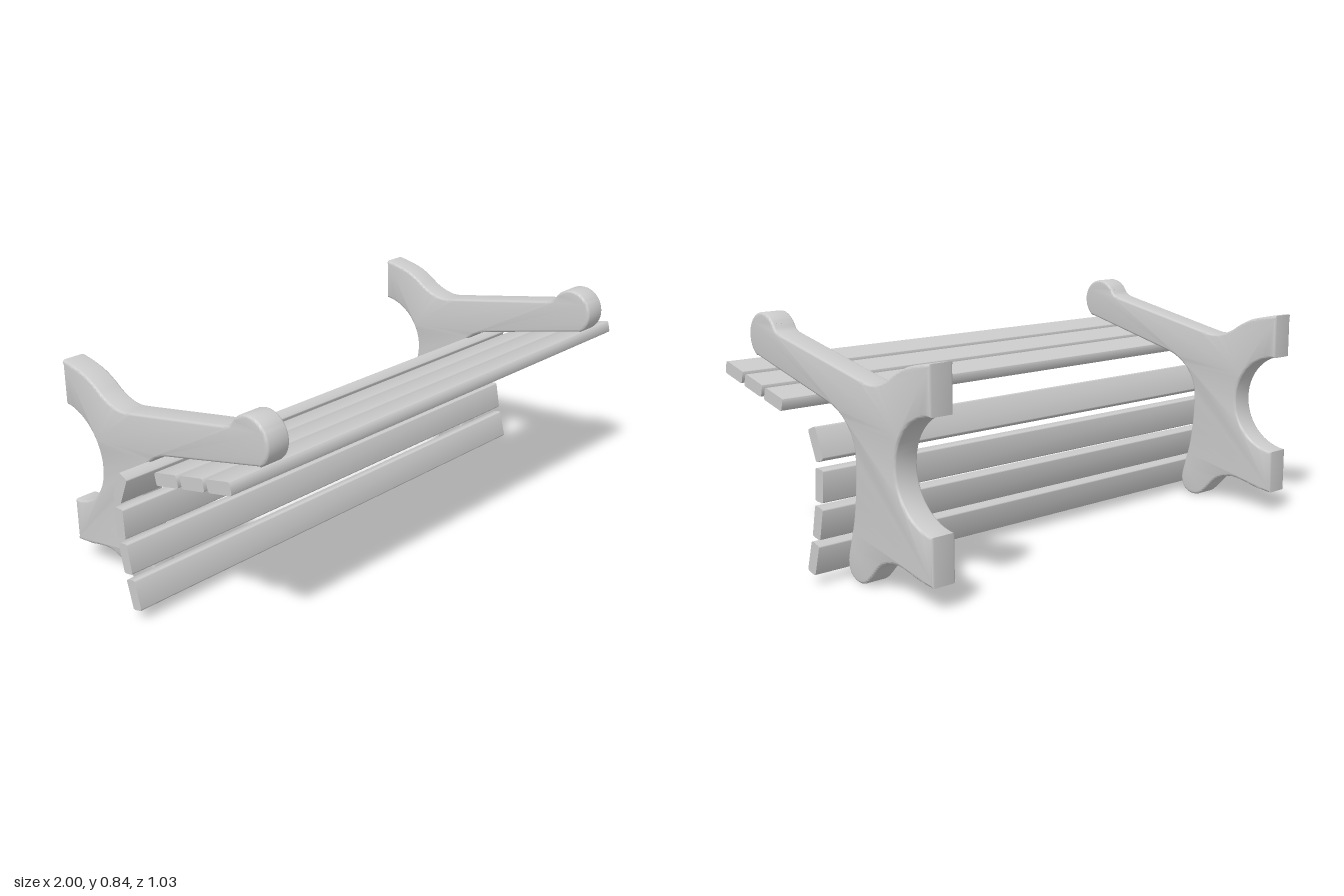
import * as THREE from 'three';
import { toCreasedNormals } from 'three/addons/utils/BufferGeometryUtils.js';

const material = new THREE.MeshStandardMaterial({ color: 0xcccccc });

// Side profile of a bracket, drawn with shape x = model z
function bracketShape() {
  const s = new THREE.Shape();
  const v = (pts) => pts.map(([z, y]) => new THREE.Vector2(z, y));
  s.moveTo(-0.513, 0.778);
  s.splineThru(v([[-0.45, 0.768], [-0.39, 0.752], [-0.34, 0.728], [-0.298, 0.702], [-0.25, 0.683], [-0.2, 0.677], [-0.147, 0.685]]));
  s.lineTo(0.3, 0.776);
  s.bezierCurveTo(0.35, 0.786, 0.345, 0.79, 0.362, 0.811); // blend into the knob
  s.absarc(0.43, 0.761, 0.085, 2.51, -1.0 + Math.PI * 2, true);
  return s;
}

// Rounded knob, then the underside, foot and wall mounts
function fullBracketShape() {
  const s = new THREE.Shape();
  const v = (pts) => pts.map(([z, y]) => new THREE.Vector2(z, y));
  s.moveTo(0.474, 0.692);
  s.lineTo(0.03, 0.583);
  s.bezierCurveTo(-0.05, 0.562, -0.115, 0.5, -0.115, 0.42);
  s.splineThru(v([[-0.112, 0.32], [-0.098, 0.216], [-0.075, 0.13], [-0.06, 0.07], [-0.068, 0.03],
    [-0.093, 0.008], [-0.125, 0.001], [-0.155, 0.008], [-0.185, 0.032], [-0.235, 0.082],
    [-0.28, 0.104], [-0.328, 0.111], [-0.38, 0.104], [-0.44, 0.09], [-0.513, 0.081]]));
  s.lineTo(-0.513, 0.244);
  s.bezierCurveTo(-0.41, 0.25, -0.329, 0.33, -0.329, 0.43);
  s.bezierCurveTo(-0.329, 0.53, -0.41, 0.61, -0.513, 0.615);
  s.lineTo(-0.513, 0.778);
  for (const p of bracketShape().getPoints(14).slice(1)) s.lineTo(p.x, p.y);
  s.closePath();
  return s;
}

// Extrude a side profile, centred across x
function extrudeAcross(shape, width, bevel) {
  const g = new THREE.ExtrudeGeometry(shape, {
    depth: width - 2 * bevel, curveSegments: 14, bevelEnabled: bevel > 0,
    bevelSize: bevel, bevelThickness: bevel, bevelOffset: -bevel, bevelSegments: 3,
  });
  g.translate(0, 0, -width / 2 + bevel);
  g.rotateY(-Math.PI / 2);
  return toCreasedNormals(g, 0.65);
}

// Plank cross-section with rounded corners
function plankShape(length, thickness, r) {
  const s = new THREE.Shape();
  const a = length / 2 - r, b = thickness / 2 - r;
  s.absarc(a, b, r, 0, Math.PI / 2);
  s.absarc(-a, b, r, Math.PI / 2, Math.PI);
  s.absarc(-a, -b, r, Math.PI, Math.PI * 1.5);
  s.absarc(a, -b, r, Math.PI * 1.5, Math.PI * 2);
  s.closePath();
  return s;
}

export function createModel() {
  const model = new THREE.Group();
  model.name = 'wallBench';

  // Two identical side brackets
  const bracketGeometry = extrudeAcross(fullBracketShape(), 0.092, 0.009);
  for (const side of [-1, 1]) {
    const bracket = new THREE.Mesh(bracketGeometry, material);
    bracket.name = side > 0 ? 'leftBracket' : 'rightBracket';
    bracket.position.x = side * 0.836;
    model.add(bracket);
  }

  // Planks: z, y, tilt in degrees
  const planks = {
    upperPlank: [[0.425, 0.65, 13.5], [0.301, 0.62, 13.5], [0.176, 0.59, 13.5]],
    lowerPlank: [[-0.071, 0.479, 67], [-0.084, 0.346, 93], [-0.068, 0.219, 101], [-0.036, 0.092, 105]],
  };
  const plankGeometry = extrudeAcross(plankShape(0.11, 0.044, 0.008), 2, 0);
  for (const [name, list] of Object.entries(planks)) {
    list.forEach(([z, y, tilt], i) => {
      const plank = new THREE.Mesh(plankGeometry, material);
      plank.name = name + (i + 1);
      plank.position.set(0, y, z);
      plank.rotation.x = -THREE.MathUtils.degToRad(tilt);
      model.add(plank);
    });
  }
  return model;
}
